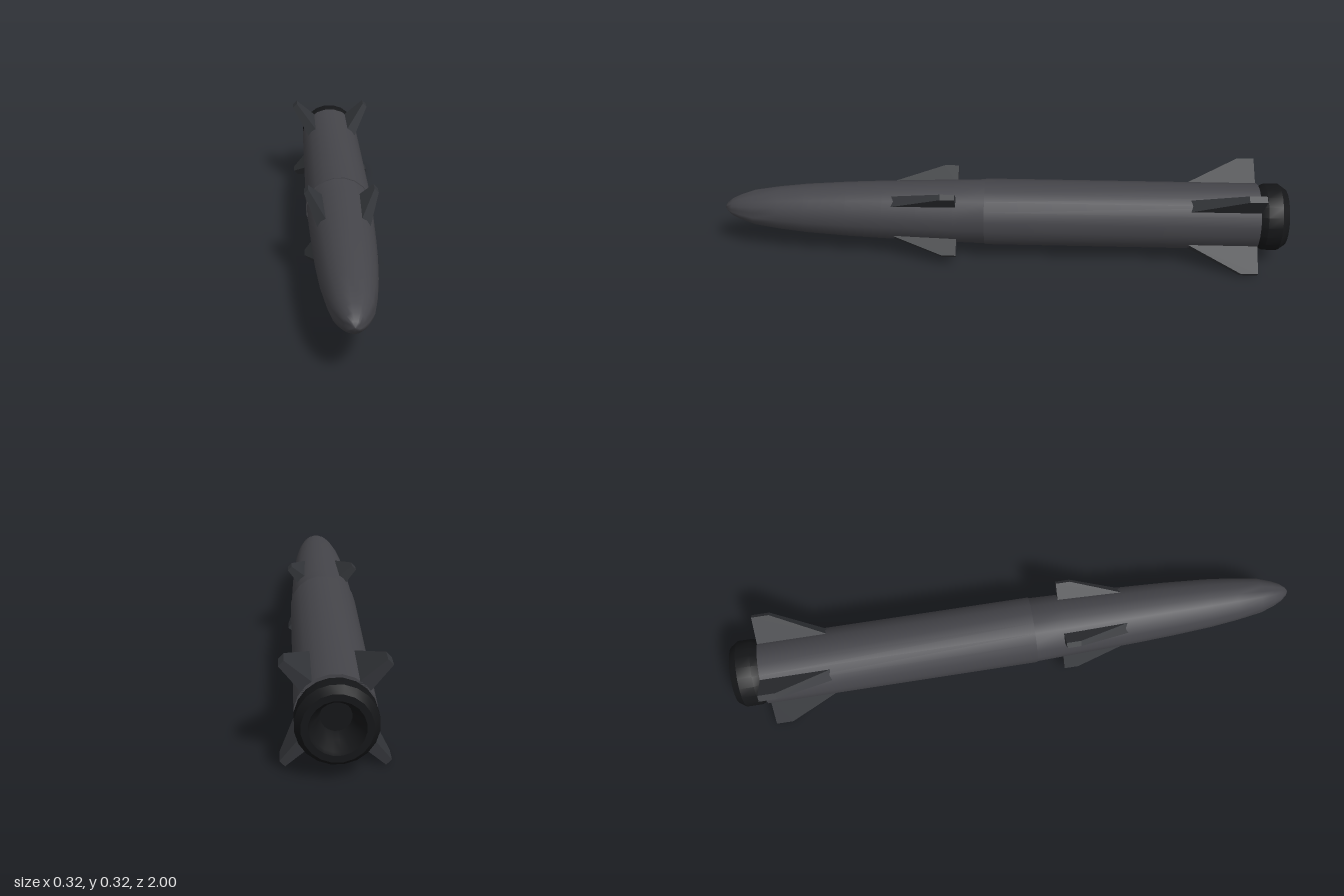
import * as THREE from 'three';
import { toCreasedNormals } from 'three/addons/utils/BufferGeometryUtils.js';

const SIDES = 20;
const AXIS_Y = 0.158;

const bodyMat = new THREE.MeshStandardMaterial({ color: 0x45454a });
const finMat = new THREE.MeshStandardMaterial({ color: 0x323438, flatShading: true });
const nozzleMat = new THREE.MeshStandardMaterial({ color: 0x151618 });

// Turned part along z; profile is [radius, z] from tail to nose
function turned(name, profile, material, crease) {
  const points = profile.map(([r, z]) => new THREE.Vector2(r, z));
  const lathe = new THREE.LatheGeometry(points, SIDES, Math.PI / SIDES);
  lathe.rotateX(Math.PI / 2);
  const mesh = new THREE.Mesh(toCreasedNormals(lathe, crease), material);
  mesh.name = name;
  return mesh;
}

// Swept wedge fin: a box whose outer face is thinner and shorter, along +x
function finGeometry({ rootR, tipR, rootT, tipT, back, rootFront, tipFront }) {
  const geometry = new THREE.BoxGeometry(1, 1, 1);
  const p = geometry.attributes.position;
  for (let i = 0; i < p.count; i++) {
    const tip = p.getX(i) > 0;
    const thickness = tip ? tipT : rootT;
    const front = tip ? tipFront : rootFront;
    p.setXYZ(i, tip ? tipR : rootR, p.getY(i) * thickness, p.getZ(i) > 0 ? front : back);
  }
  geometry.computeVertexNormals();
  return geometry;
}

// Four fins set in an X around the body
function finSet(name, spec) {
  const group = new THREE.Group();
  group.name = name + 's';
  const geometry = finGeometry(spec);
  for (let i = 0; i < 4; i++) {
    const fin = new THREE.Mesh(geometry, finMat);
    fin.name = name;
    fin.rotation.z = Math.PI / 4 + (i * Math.PI) / 2;
    group.add(fin);
  }
  return group;
}

export function createModel() {
  const model = new THREE.Group();
  model.name = 'missile';
  const hull = new THREE.Group();
  hull.name = 'hull';
  hull.position.y = AXIS_Y;
  model.add(hull);

  // Body tube, with a slight step where the nose section begins
  hull.add(turned('body', [
    [0, -0.9], [0.118, -0.9], [0.118, 0.06], [0.115, 0.06],
  ], bodyMat, 0.6));

  // Ogive nose with a small blunt tip
  hull.add(turned('noseCone', [
    [0.115, 0.06], [0.112, 0.17], [0.108, 0.3], [0.104, 0.42], [0.098, 0.55],
    [0.088, 0.7], [0.077, 0.8], [0.063, 0.89], [0.046, 0.94], [0.032, 0.97],
    [0.016, 0.99], [0, 1],
  ], bodyMat, 0.8));

  // Exhaust nozzle: chamfered ring with a tapering hollow
  hull.add(turned('nozzle', [
    [0, -0.915], [0.045, -0.915], [0.055, -0.95], [0.075, -0.985], [0.08, -1], [0.1, -1],
    [0.118, -0.975], [0.118, -0.925], [0.105, -0.9], [0.09, -0.895],
  ], nozzleMat, 0.5));

  hull.add(finSet('tailFin', {
    rootR: 0.105, tipR: 0.212, rootT: 0.044, tipT: 0.0226,
    back: -0.9, rootFront: -0.64, tipFront: -0.84,
  }));
  hull.add(finSet('frontFin', {
    rootR: 0.09, tipR: 0.168, rootT: 0.042, tipT: 0.02,
    back: 0.16, rootFront: 0.42, tipFront: 0.21,
  }));
  return model;
}
